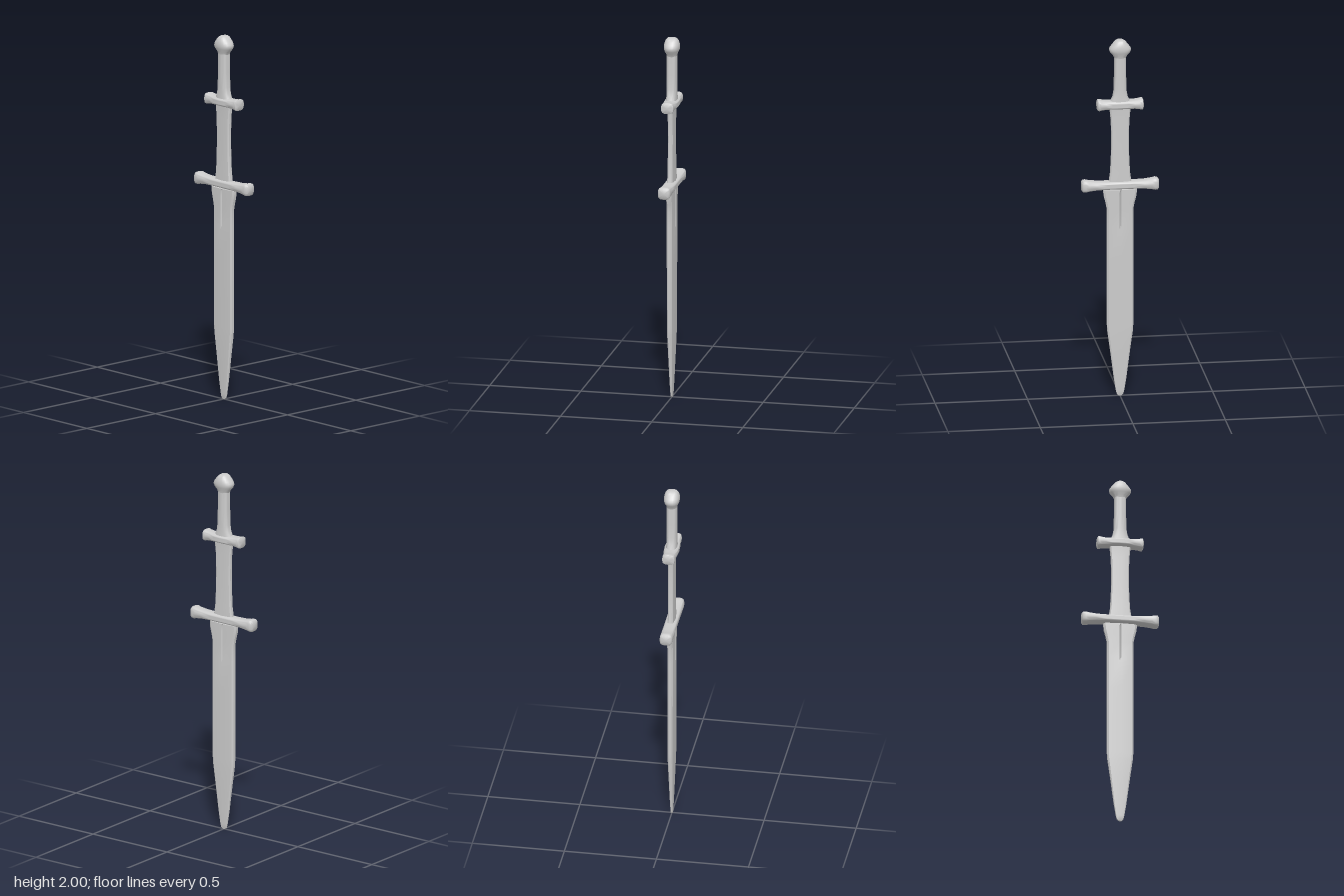
import * as THREE from 'three';
import { toCreasedNormals } from 'three/addons/utils/BufferGeometryUtils.js';

const steel = new THREE.MeshStandardMaterial({ color: 0xcccccc });
steel.name = 'grey steel';

// Skin a stack of rings: each is { y, pts: [[x, z], ...] }, lowest first
function loft(name, rings, crease = 0.6) {
  const n = rings[0].pts.length, pos = [], idx = [];
  rings.forEach(({ y, pts }) => pts.forEach(([x, z]) => pos.push(x, y, z)));
  for (let i = 0; i < rings.length - 1; i++) {
    for (let j = 0; j < n; j++) {
      const a = i * n + j, b = i * n + (j + 1) % n;
      idx.push(a, a + n, b, b, a + n, b + n);
    }
  }
  // end caps
  const last = rings.length - 1, low = pos.length / 3;
  pos.push(0, rings[0].y, 0, 0, rings[last].y, 0);
  for (let j = 0; j < n; j++) {
    const k = (j + 1) % n;
    idx.push(low, j, k, low + 1, last * n + k, last * n + j);
  }
  const g = new THREE.BufferGeometry();
  g.setAttribute('position', new THREE.Float32BufferAttribute(pos, 3));
  g.setIndex(idx);
  const mesh = new THREE.Mesh(toCreasedNormals(g, crease), steel);
  mesh.name = name;
  return mesh;
}

// Rounded section: power 2 is an ellipse, higher is boxier
function rounded(y, w, d, power = 2, n = 24) {
  const pts = [];
  for (let j = 0; j < n; j++) {
    const t = (j / n) * Math.PI * 2, c = Math.cos(t), s = Math.sin(t);
    pts.push([w * Math.sign(c) * Math.abs(c) ** (2 / power),
      d * Math.sign(s) * Math.abs(s) ** (2 / power)]);
  }
  return { y, pts };
}

// Flat bevelled section with a central ridge, or a groove when dip > 0
function bladed(y, w, d, dip = 0) {
  const edge = d * 0.4, g = Math.min(0.005, w * 0.2);
  const top = [[w, edge], [w * 0.88, d * 0.75], [g, d], [0, d - dip],
    [-g, d], [-w * 0.88, d * 0.75], [-w, edge]];
  return { y, pts: [...top, ...top.map(([x, z]) => [-x, -z])] };
}

// Crossguard lofted along its length with flared, softly rounded ends
function guard(name, y, half, mid, end, depthMid, depthEnd) {
  const side = [
    [0, mid, depthMid], [0.35, mid, depthMid * 0.6 + depthEnd * 0.4],
    [0.62, mid * 0.85 + end * 0.15, depthEnd], [0.82, mid * 0.4 + end * 0.6, depthEnd],
    [0.9, end, depthEnd], [0.965, end * 0.97, depthEnd * 0.97], [1, end * 0.74, depthEnd * 0.76],
  ];
  const left = side.slice(1).reverse().map(([t, h, d]) => [-t, h, d]);
  const mesh = loft(name, [...left, ...side].map(([t, h, d]) => rounded(t * half, h, d, 3.2)), 0.8);
  mesh.rotation.z = -Math.PI / 2;
  mesh.position.y = y;
  return mesh;
}

export function createModel() {
  const sword = new THREE.Group();
  sword.name = 'sword';

  // blade with a short groove below the crossguard: y, half width, half depth, groove
  sword.add(loft('blade', [
    [0, 0.008, 0.004], [0.008, 0.017, 0.006], [0.03, 0.023, 0.007], [0.1, 0.034, 0.01],
    [0.25, 0.053, 0.015], [0.36, 0.068, 0.018], [0.4, 0.071, 0.018], [0.78, 0.071, 0.02],
    [0.94, 0.071, 0.02], [0.96, 0.071, 0.02, 0.007], [1.05, 0.071, 0.02, 0.009],
    [1.09, 0.079, 0.02, 0.009], [1.12, 0.087, 0.02, 0.009], [1.145, 0.09, 0.02, 0.009],
    [1.16, 0.09, 0.02],
  ].map((s) => bladed(...s)), 0.45));

  // flat neck between the two guards
  sword.add(loft('neck', [
    [1.17, 0.066, 0.02], [1.21, 0.06, 0.02], [1.26, 0.053, 0.019], [1.35, 0.049, 0.018],
    [1.45, 0.047, 0.018], [1.55, 0.05, 0.018], [1.6, 0.055, 0.018], [1.64, 0.058, 0.02],
  ].map((s) => bladed(...s)), 0.45));

  sword.add(guard('lowerGuard', 1.186, 0.208, 0.022, 0.034, 0.034, 0.034));
  sword.add(guard('upperGuard', 1.638, 0.125, 0.023, 0.031, 0.041, 0.034));

  // grip flaring into the upper guard
  sword.add(loft('grip', [
    [1.64, 0.058, 0.03], [1.665, 0.05, 0.029], [1.685, 0.041, 0.028], [1.72, 0.035, 0.028],
    [1.8, 0.033, 0.028], [1.91, 0.032, 0.028],
  ].map(([y, w, d]) => rounded(y, w, d, 2.6))));

  // mushroom pommel
  sword.add(loft('pommel', [
    [1.9, 0.032, 0.028], [1.915, 0.038, 0.031], [1.932, 0.054, 0.039], [1.945, 0.059, 0.042],
    [1.956, 0.058, 0.042], [1.968, 0.049, 0.041], [1.982, 0.038, 0.037], [1.993, 0.029, 0.031],
    [2, 0.017, 0.023],
  ].map(([y, w, d]) => rounded(y, w, d, 2.3)), 0.9));

  return sword;
}
